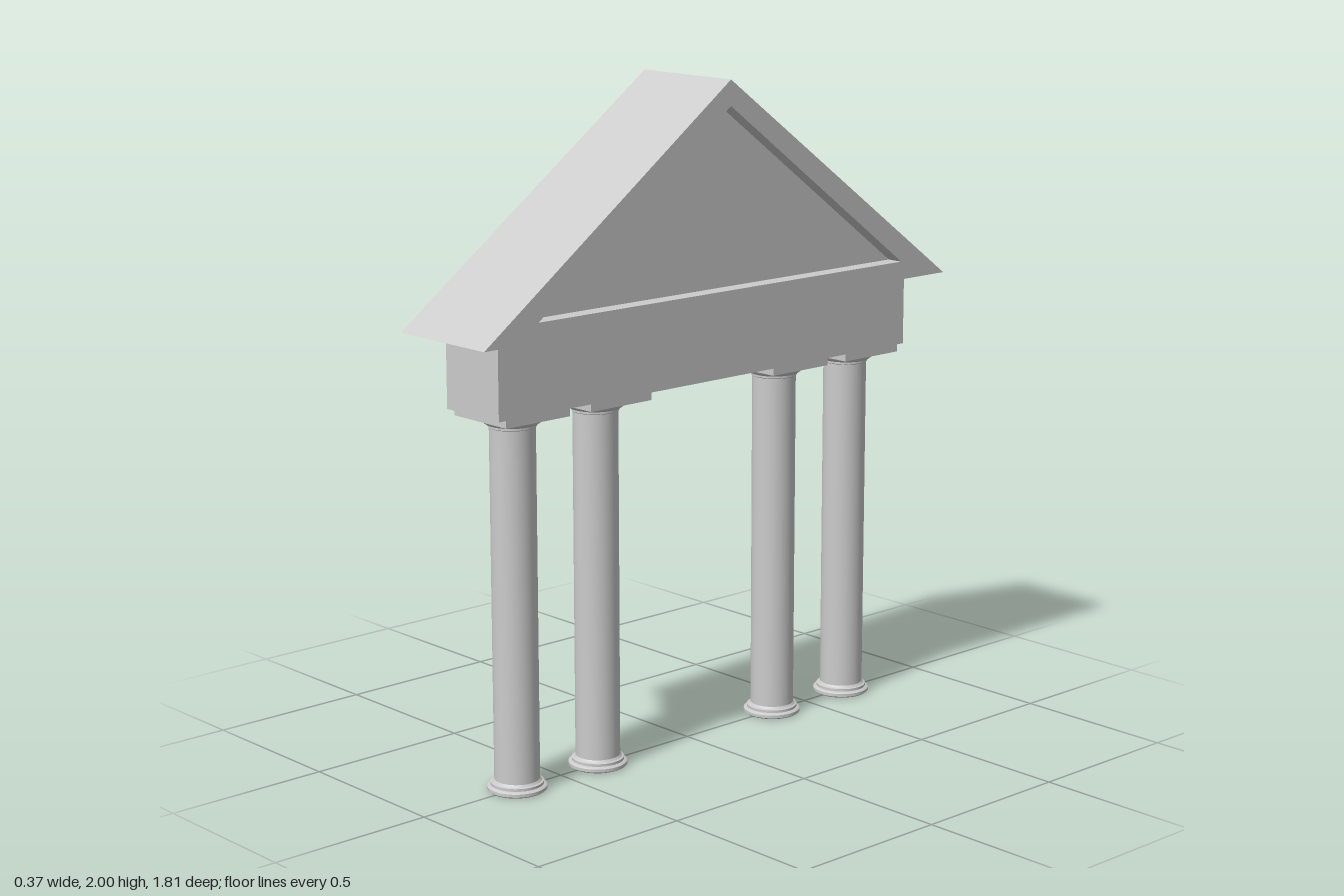
import * as THREE from 'three';
import { toCreasedNormals } from 'three/addons/utils/BufferGeometryUtils.js';

const material = new THREE.MeshStandardMaterial({ color: 0xcccccc });

function addMesh(parent, name, geometry, x = 0, y = 0, z = 0) {
  const mesh = new THREE.Mesh(geometry, material);
  mesh.name = name;
  mesh.position.set(x, y, z);
  parent.add(mesh);
  return mesh;
}

// Isosceles triangle outline: half width, base height, apex height
function triangle(Type, half, base, apex) {
  return new Type([
    new THREE.Vector2(-half, base),
    new THREE.Vector2(half, base),
    new THREE.Vector2(0, apex),
  ]);
}

// Extrude a shape so its thickness runs along x, centred on x = 0
function extrudeAcross(shape, depth) {
  const geometry = new THREE.ExtrudeGeometry(shape, { depth, bevelEnabled: false });
  geometry.translate(0, 0, -depth / 2);
  geometry.rotateY(Math.PI / 2);
  return geometry;
}

// Base mouldings, plain shaft and flared capital in one turned profile
function columnGeometry() {
  const profile = [
    [0, 0], [0.082, 0], [0.087, 0.004], [0.087, 0.013], [0.082, 0.017],
    [0.077, 0.018], [0.077, 0.026], [0.071, 0.028], [0.066, 0.034],
    [0.066, 1.068], [0.069, 1.07], [0.069, 1.076], [0.075, 1.078],
    [0.083, 1.084], [0.087, 1.091], [0.087, 1.1], [0, 1.1],
  ].map(([r, y]) => new THREE.Vector2(r, y));
  return toCreasedNormals(new THREE.LatheGeometry(profile, 32), 0.5);
}

export function createModel() {
  const model = new THREE.Group();
  model.name = 'portico';

  // Two pairs of columns, each under a square slab
  const column = columnGeometry();
  const slab = new THREE.BoxGeometry(0.228, 0.024, 0.228);
  for (const z of [0.663, 0.357, -0.357, -0.663]) {
    const support = new THREE.Group();
    support.name = 'columnWithSlab';
    support.position.z = z;
    addMesh(support, 'column', column);
    addMesh(support, 'abacus', slab, 0, 1.11, 0);
    model.add(support);
  }

  // Beam across the columns
  addMesh(model, 'entablature', new THREE.BoxGeometry(0.228, 0.22, 1.605), 0, 1.23, 0);

  // Gabled frame with a recessed panel on both faces
  const frame = triangle(THREE.Shape, 0.905, 1.34, 2);
  frame.holes.push(triangle(THREE.Path, 0.715, 1.395, 1.925));
  addMesh(model, 'pedimentFrame', extrudeAcross(frame, 0.366));
  addMesh(model, 'pedimentPanel', extrudeAcross(triangle(THREE.Shape, 0.715, 1.395, 1.925), 0.262));

  return model;
}
